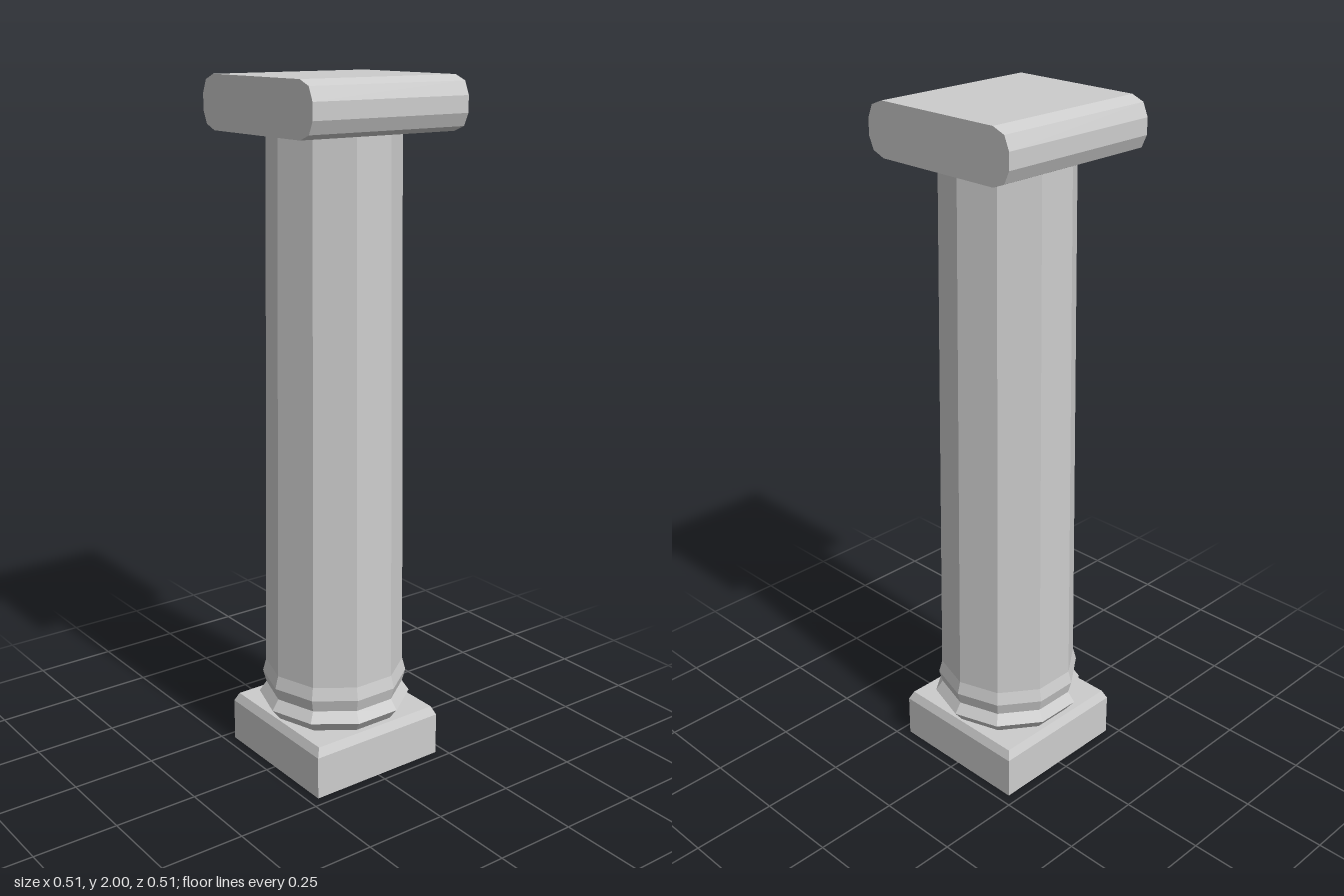
import * as THREE from 'three';

const SIDES = 10;

export function createModel() {
  const stone = new THREE.MeshStandardMaterial({ color: 0xcccccc, flatShading: true, side: THREE.DoubleSide });
  stone.name = 'grey stone';

  const model = new THREE.Group();
  model.name = 'column';
  const add = (name, geometry) => {
    const mesh = new THREE.Mesh(geometry, stone);
    mesh.name = name;
    model.add(mesh);
    return mesh;
  };
  // Faceted turned part from [radius, height] pairs, listed bottom to top
  const turned = (profile, sides) =>
    new THREE.LatheGeometry(profile.map(([r, y]) => new THREE.Vector2(r, y)), sides);

  // Square plinth: hollow, open underneath, with a bevelled top edge
  const corner = Math.SQRT2;
  const plinth = turned([
    [0.22 * corner, 0], [0.22 * corner, 0.128], [0.208 * corner, 0.154], [0, 0.154],
  ], 4);
  plinth.rotateY(Math.PI / 4);
  add('plinth', plinth);

  // Double moulding at the foot of the shaft
  add('baseMoulding', turned([
    [0.2, 0.154], [0.226, 0.187], [0.205, 0.218], [0.215, 0.255], [0.205, 0.293],
  ], SIDES));

  // Tapering ten-sided shaft
  add('shaft', turned([[0.205, 0.293], [0.185, 1.852]], SIDES));

  // Capital: slab with rounded left and right sides, extruded front to back
  const side = [[0.2, 1.852], [0.238, 1.867], [0.254, 1.902], [0.254, 1.948], [0.238, 1.985], [0.2, 2]];
  const outline = [...side, ...side.map(([x, y]) => [-x, y]).reverse()];
  const shape = new THREE.Shape(outline.map(([x, y]) => new THREE.Vector2(x, y)));
  const slab = new THREE.ExtrudeGeometry(shape, { depth: 0.508, bevelEnabled: false });
  slab.translate(0, 0, -0.254);
  add('capital', slab);

  return model;
}
